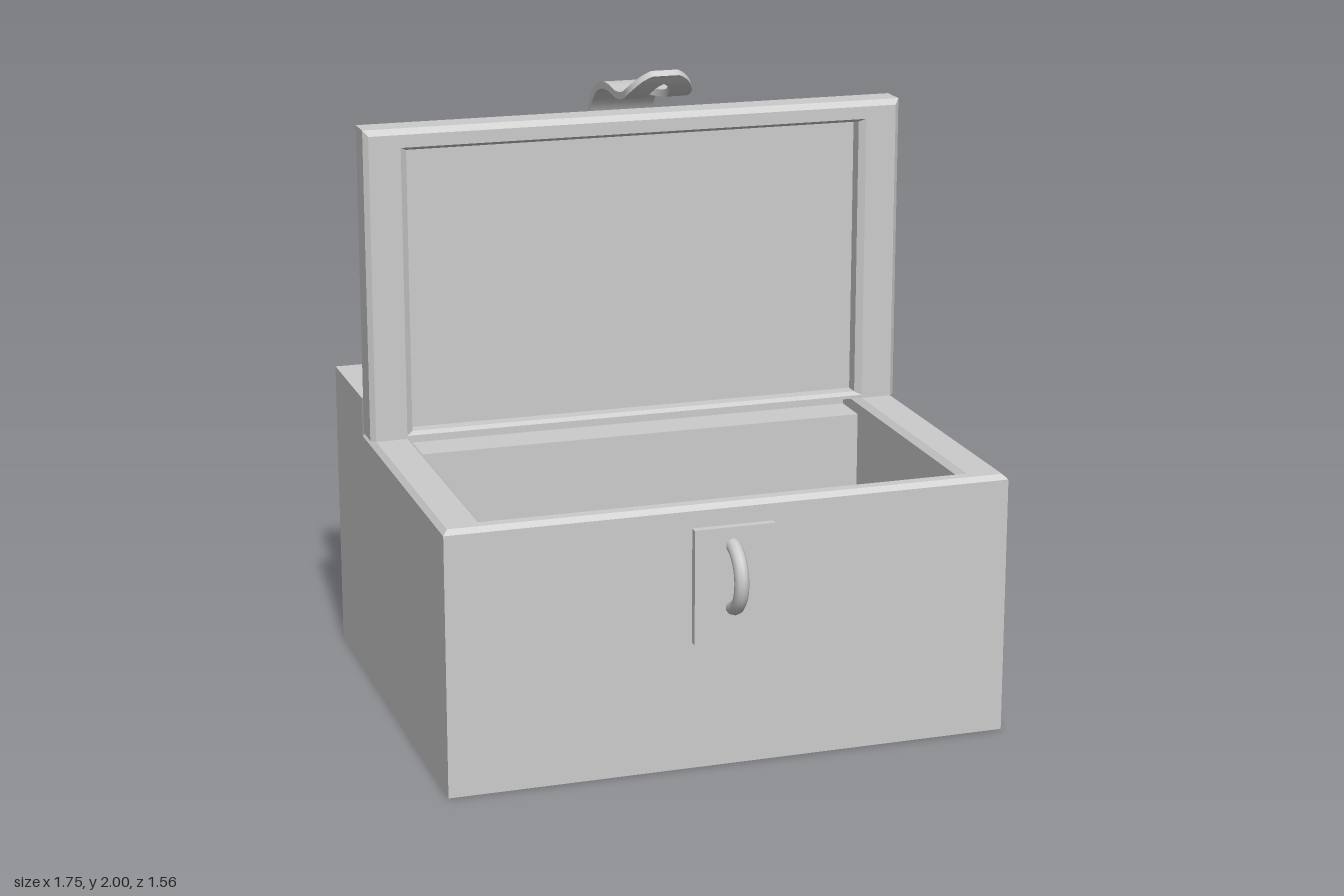
import * as THREE from 'three';
import { toCreasedNormals } from 'three/addons/utils/BufferGeometryUtils.js';

const material = new THREE.MeshStandardMaterial({ color: 0xcccccc, side: THREE.DoubleSide });

function addMesh(parent, name, geometry) {
  const mesh = new THREE.Mesh(geometry, material);
  mesh.name = name;
  parent.add(mesh);
  return mesh;
}

function fromTriangles(positions) {
  const g = new THREE.BufferGeometry();
  g.setAttribute('position', new THREE.Float32BufferAttribute(positions, 3));
  g.computeVertexNormals();
  return g;
}

function quad(out, a, b, c, d) {
  out.push(...a, ...b, ...c, ...a, ...c, ...d);
}

// Joins rectangles [halfX, zBack, zFront, y]; sides: 0 front, 1 left, 2 back, 3 right
function rectLoft(rows, { sides = [0, 1, 2, 3], capStart = false, capEnd = false } = {}) {
  const loops = rows.map(([h, b, f, y]) => [[-h, y, f], [h, y, f], [h, y, b], [-h, y, b]]);
  const out = [];
  for (let r = 0; r < loops.length - 1; r++) {
    for (const i of sides) {
      const j = (i + 1) % 4;
      quad(out, loops[r][i], loops[r][j], loops[r + 1][j], loops[r + 1][i]);
    }
  }
  if (capStart) quad(out, ...[...loops[0]].reverse());
  if (capEnd) quad(out, ...loops[loops.length - 1]);
  return fromTriangles(out);
}

// Curved strap with a rounded tip and a slot, made of two mirrored rails
function strapGeometry() {
  const curve = new THREE.CatmullRomCurve3([
    [1.66, -0.405], [1.71, -0.42], [1.77, -0.415], [1.83, -0.385], [1.88, -0.33], [1.902, -0.27],
    [1.908, -0.2], [1.9, -0.11], [1.915, -0.03], [1.95, 0.025], [1.99, 0.06],
  ].map(([y, z]) => new THREE.Vector3(0, y, z)));
  const rows = 40, length = curve.getLength(), half = 0.103, thick = 0.011;
  const out = [];
  for (const side of [-1, 1]) {
    const loops = [];
    for (let i = 0; i <= rows; i++) {
      // rows bunch up towards the tip
      const u = 1 - Math.pow(1 - i / rows, 1.4);
      const p = curve.getPointAt(u), t = curve.getTangentAt(u);
      const s = u * length;
      const tip = Math.max(0, (s - (length - 0.11)) / 0.12);
      const outer = half * Math.sqrt(1 - tip * tip);
      const hole = (s - (length - 0.135)) / 0.095;
      const inner = Math.abs(hole) < 1 ? 0.034 * Math.sqrt(1 - hole * hole) : 0;
      const ny = t.z * thick, nz = -t.y * thick;
      loops.push([[inner, 1], [outer, 1], [outer, -1], [inner, -1]]
        .map(([x, k]) => [side * x, p.y + k * ny, p.z + k * nz]));
    }
    const add = (a, b, c, d) => (side > 0 ? quad(out, a, b, c, d) : quad(out, d, c, b, a));
    for (let r = 0; r < rows; r++) {
      for (let i = 0; i < 4; i++) {
        const j = (i + 1) % 4;
        // no inner wall where the two rails meet
        if (i === 3 && loops[r][0][0] === 0 && loops[r + 1][0][0] === 0) continue;
        add(loops[r][i], loops[r + 1][i], loops[r + 1][j], loops[r][j]);
      }
    }
    add(...loops[0]);
    add(...[...loops[rows]].reverse());
  }
  return toCreasedNormals(fromTriangles(out), 0.6);
}

export function createModel() {
  const model = new THREE.Group();
  model.name = 'openChest';

  // Outer walls and rim, open below and behind
  addMesh(model, 'outerWalls', rectLoft([
    [0.875, -0.39, 0.655, 0],
    [0.875, -0.39, 0.655, 0.805],
    [0.86, -0.39, 0.64, 0.82],
    [0.76, -0.39, 0.605, 0.82],
    [0.742, -0.385, 0.59, 0.805],
  ], { sides: [0, 1, 3] }));

  // Inner tray with a ledge under the lid
  addMesh(model, 'innerTray', rectLoft([
    [0.742, -0.385, 0.59, 0.805],
    [0.742, -0.385, 0.59, 0.77],
    [0.742, -0.25, 0.59, 0.77],
    [0.742, -0.25, 0.59, 0.32],
  ], { capEnd: true }));

  // Raised rear section: two sides and a shelf
  addMesh(model, 'rearSection', rectLoft([
    [0.875, -0.78, -0.39, 0],
    [0.875, -0.78, -0.39, 0.93],
  ], { sides: [1, 3], capEnd: true }));

  // Upright lid with a recessed inside panel
  const lid = rectLoft([
    [0.74, 0.84, 1.735, 0.325],
    [0.74, 0.84, 1.735, 0.28],
    [0.76, 0.83, 1.745, 0.265],
    [0.86, 0.82, 1.785, 0.265],
    [0.875, 0.82, 1.803, 0.28],
    [0.875, 0.82, 1.803, 0.37],
    [0.865, 0.82, 1.788, 0.385],
  ], { capStart: true, capEnd: true });
  addMesh(model, 'lid', lid.rotateX(-Math.PI / 2));

  // Hasp strap on the lid
  addMesh(model, 'haspStrap', strapGeometry()).position.x = -0.018;

  // Lock plate and its half-ring staple
  addMesh(model, 'lockPlate', new THREE.BoxGeometry(0.25, 0.355, 0.025)).position.set(-0.003, 0.575, 0.667);
  const staple = addMesh(model, 'staple', new THREE.TorusGeometry(0.092, 0.022, 10, 20, Math.PI * 1.1));
  staple.geometry.rotateZ(-Math.PI * 0.55).rotateY(-Math.PI / 2);
  staple.position.set(-0.01, 0.6, 0.667);
  staple.scale.y = 1.05;

  return model;
}
